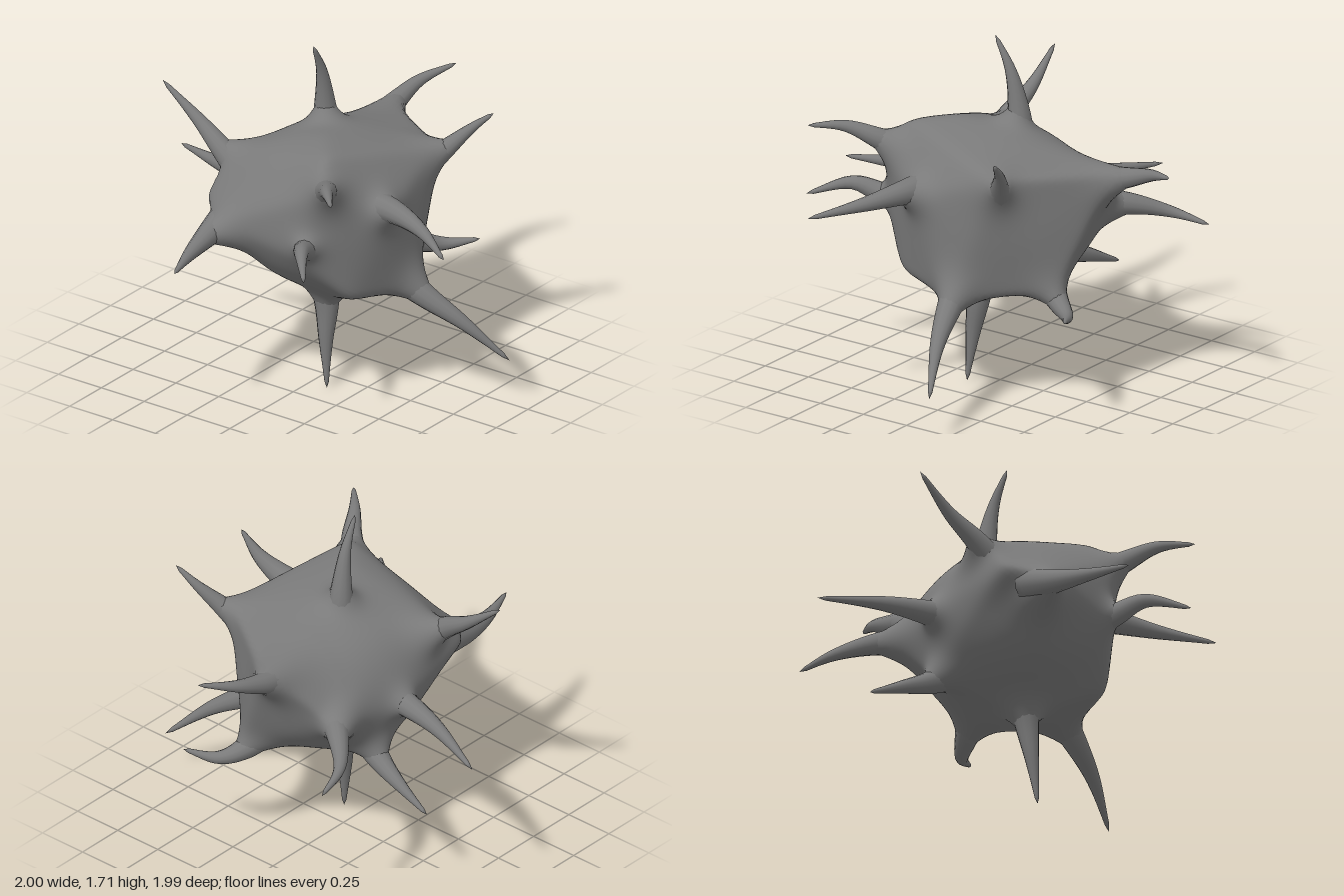
import * as THREE from 'three';
import { mergeVertices } from 'three/addons/utils/BufferGeometryUtils.js';
import { ConvexGeometry } from 'three/addons/geometries/ConvexGeometry.js';

const V = (p) => new THREE.Vector3(...p);

// Each spike: buried root, flare, elbow, tip
const SPIKES = {
  topSpike: [[0.08, 1.15, -0.05], [0.07, 1.36, -0.05], [0.03, 1.55, -0.04], [-0.05, 1.71, -0.03]],
  upperFrontLeftSpike: [[0.24, 1.02, 0.32], [0.33, 1.17, 0.46], [0.4, 1.28, 0.56], [0.44, 1.37, 0.66]],
  leftSpike: [[0.46, 1.08, -0.07], [0.68, 1.14, -0.08], [0.83, 1.19, -0.06], [1.0, 1.24, 0.03]],
  backLeftSpike: [[0.34, 0.9, -0.22], [0.48, 0.87, -0.39], [0.62, 0.82, -0.52], [0.8, 0.78, -0.57]],
  lowerLeftSpike: [[0.36, 0.65, 0.14], [0.48, 0.56, 0.2], [0.58, 0.53, 0.27], [0.67, 0.56, 0.41]],
  lowerFrontSpike: [[0.04, 0.63, 0.36], [0.08, 0.52, 0.53], [0.14, 0.41, 0.7], [0.24, 0.23, 0.9]],
  lowerBackSpike: [[0.1, 0.66, -0.2], [0.14, 0.57, -0.35], [0.17, 0.51, -0.5], [0.19, 0.43, -0.69]],
  bottomSpike: [[-0.07, 0.57, 0.05], [-0.08, 0.4, 0.07], [-0.1, 0.24, 0.08], [-0.12, 0, 0.1]],
  rightSpike: [[-0.42, 0.92, -0.25], [-0.6, 0.88, -0.24], [-0.78, 0.86, -0.21], [-1.0, 0.86, -0.14]],
  frontRightSpike: [[-0.34, 0.84, 0.17], [-0.5, 0.9, 0.25], [-0.62, 0.95, 0.32], [-0.79, 0.9, 0.46]],
  upperRightSpike: [[-0.34, 1.12, 0.22], [-0.46, 1.22, 0.35], [-0.58, 1.28, 0.44], [-0.71, 1.29, 0.56]],
  frontSpike: [[-0.15, 1.05, 0.34], [-0.18, 1.06, 0.54], [-0.25, 1.05, 0.74], [-0.4, 1.02, 0.99]],
  upperBackSpike: [[-0.26, 1.01, -0.24], [-0.25, 1.15, -0.42], [-0.23, 1.25, -0.57], [-0.24, 1.4, -0.77]],
  backSpike: [[0.03, 0.88, -0.24], [0.05, 0.87, -0.46], [0.1, 0.86, -0.68], [0.22, 0.83, -1.0]],
};

// Corners of the angular body that carries the spikes
const CORNERS = [
  [0.08, 1.27, -0.05], [-0.13, 1.34, 0.09], [-0.35, 1.32, 0.26], [-0.46, 1.18, 0.3],
  [0.3, 1.2, 0.45], [-0.15, 1.03, 0.49], [-0.49, 0.85, 0.2], [-0.32, 0.6, 0.38],
  [0.06, 0.55, 0.48], [0.49, 0.61, 0.2], [0.63, 1.16, -0.05], [0.44, 0.88, -0.32],
  [0.12, 0.6, -0.31], [0.05, 0.88, -0.4], [-0.26, 1.17, -0.36], [-0.56, 0.93, -0.25],
  [-0.08, 0.45, 0.06], [-0.42, 0.97, -0.4], [0.53, 1.02, -0.22], [0.54, 0.85, 0.1],
];

const CENTRE = new THREE.Vector3(0, 0.9, 0.02);
const CORE = new THREE.Vector3(0.46, 0.37, 0.4);
const HULL_ROUNDING = 0.014;
const BLEND = 0.032;

// Face planes of the hull around the corners
const hull = new ConvexGeometry(CORNERS.map((p) => V(p).sub(CENTRE))).attributes.position;
const planes = [];
for (let i = 0; i < hull.count; i += 3) {
  const [a, b, c] = [0, 1, 2].map((k) => new THREE.Vector3().fromBufferAttribute(hull, i + k));
  planes.push(new THREE.Plane().setFromCoplanarPoints(a, b, c));
}

// Flared feet that rise out of the body under every spike
const feet = Object.values(SPIKES).map((p) => {
  const end = V(p[1]).sub(CENTRE);
  const start = end.clone().multiplyScalar(0.55);
  return { start, axis: end.sub(start) };
});

// Smooth union of the rounded hull, a round core and the feet; negative inside
function field(p) {
  let faces = 0;
  for (const plane of planes) faces += Math.exp(plane.distanceToPoint(p) / HULL_ROUNDING);
  let sum = Math.exp(-HULL_ROUNDING * Math.log(faces) / BLEND);
  sum += Math.exp(-(p.clone().divide(CORE).length() - 1) * 0.4 / BLEND);
  for (const { start, axis } of feet) {
    const q = p.clone().sub(start);
    const t = THREE.MathUtils.clamp(q.dot(axis) / axis.lengthSq(), 0, 1);
    const d = q.addScaledVector(axis, -t).length() - THREE.MathUtils.lerp(0.15, 0.04, t);
    sum += Math.exp(-d / BLEND);
  }
  return -BLEND * Math.log(sum);
}

// Weld the vertices and give smooth normals
function smooth(geometry) {
  geometry.deleteAttribute('normal');
  geometry.deleteAttribute('uv');
  const welded = mergeVertices(geometry, 1e-5);
  welded.computeVertexNormals();
  return welded;
}

// Sphere pushed out to the blended surface
function bodyGeometry() {
  const geometry = smooth(new THREE.IcosahedronGeometry(1, 28));
  const pos = geometry.attributes.position;
  const dir = new THREE.Vector3();
  for (let i = 0; i < pos.count; i++) {
    dir.fromBufferAttribute(pos, i).normalize();
    let near = 0, far = 0.95;
    for (let k = 0; k < 16; k++) {
      const mid = (near + far) / 2;
      if (field(dir.clone().multiplyScalar(mid)) < 0) near = mid;
      else far = mid;
    }
    dir.multiplyScalar(near).add(CENTRE);
    pos.setXYZ(i, dir.x, dir.y, dir.z);
  }
  geometry.computeVertexNormals();
  return geometry;
}

// Bent tube that narrows to a point
function spikeGeometry(points) {
  const rings = 18, sides = 12;
  const curve = new THREE.CatmullRomCurve3(points.map(V));
  const geometry = new THREE.TubeGeometry(curve, rings, 1, sides);
  const pos = geometry.attributes.position;
  const v = new THREE.Vector3();
  for (let i = 0; i <= rings; i++) {
    const u = i / rings;
    const radius = i === rings ? 0 : 0.008 + 0.073 * Math.pow(1 - u, 1.15);
    const c = curve.getPointAt(u);
    for (let j = 0; j <= sides; j++) {
      const k = i * (sides + 1) + j;
      v.fromBufferAttribute(pos, k).sub(c).multiplyScalar(radius).add(c);
      pos.setXYZ(k, v.x, v.y, v.z);
    }
  }
  return smooth(geometry);
}

export function createModel() {
  const group = new THREE.Group();
  group.name = 'spikyBall';
  const material = new THREE.MeshStandardMaterial({ color: 0x7a7a7a });
  const add = (name, geometry) => {
    const mesh = new THREE.Mesh(geometry, material);
    mesh.name = name;
    group.add(mesh);
  };
  add('body', bodyGeometry());
  for (const [name, points] of Object.entries(SPIKES)) add(name, spikeGeometry(points));
  return group;
}
